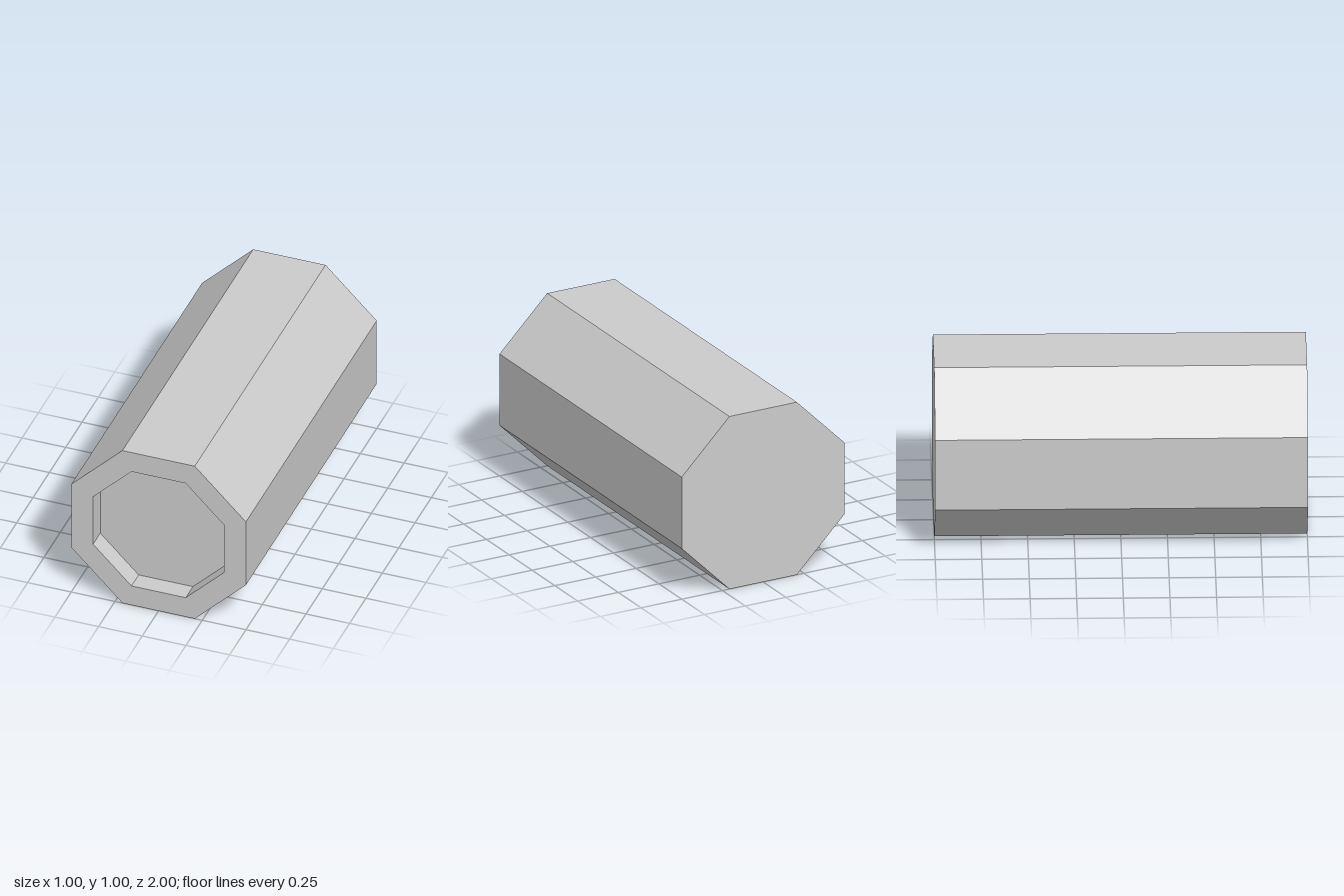
import * as THREE from 'three';

const SIDES = 8;
const HALF_LENGTH = 1;
const RECESS_DEPTH = 0.11;
// Corner radii of octagons measured across their flats
const cornerRadius = (acrossFlats) => acrossFlats / 2 / Math.cos(Math.PI / SIDES);
const OUTER = cornerRadius(1);
const INNER = cornerRadius(0.75);

export function createModel() {
  const group = new THREE.Group();
  group.name = 'octagonalBar';
  const material = new THREE.MeshStandardMaterial({ color: 0xcccccc, flatShading: true });

  const addPart = (name, geometry, z = 0) => {
    const flat = geometry.toNonIndexed();
    flat.computeVertexNormals();
    const mesh = new THREE.Mesh(flat, material);
    mesh.name = name;
    mesh.position.set(0, 0.5, z);
    group.add(mesh);
    return mesh;
  };

  // Outer sides, front rim and recess walls as one eight-sided profile
  const profile = [
    [OUTER, -HALF_LENGTH],
    [OUTER, HALF_LENGTH],
    [INNER, HALF_LENGTH],
    [INNER, HALF_LENGTH - RECESS_DEPTH],
  ].map(([r, h]) => new THREE.Vector2(r, h));
  const shell = new THREE.LatheGeometry(profile, SIDES, Math.PI / SIDES);
  shell.rotateX(Math.PI / 2);
  addPart('shell', shell);

  // Floor of the shallow front recess
  const octagon = (radius) => new THREE.CircleGeometry(radius, SIDES, Math.PI / SIDES);
  addPart('recessFloor', octagon(INNER), HALF_LENGTH - RECESS_DEPTH);

  // Closed back end
  addPart('backCap', octagon(OUTER).rotateY(Math.PI), -HALF_LENGTH);

  return group;
}
